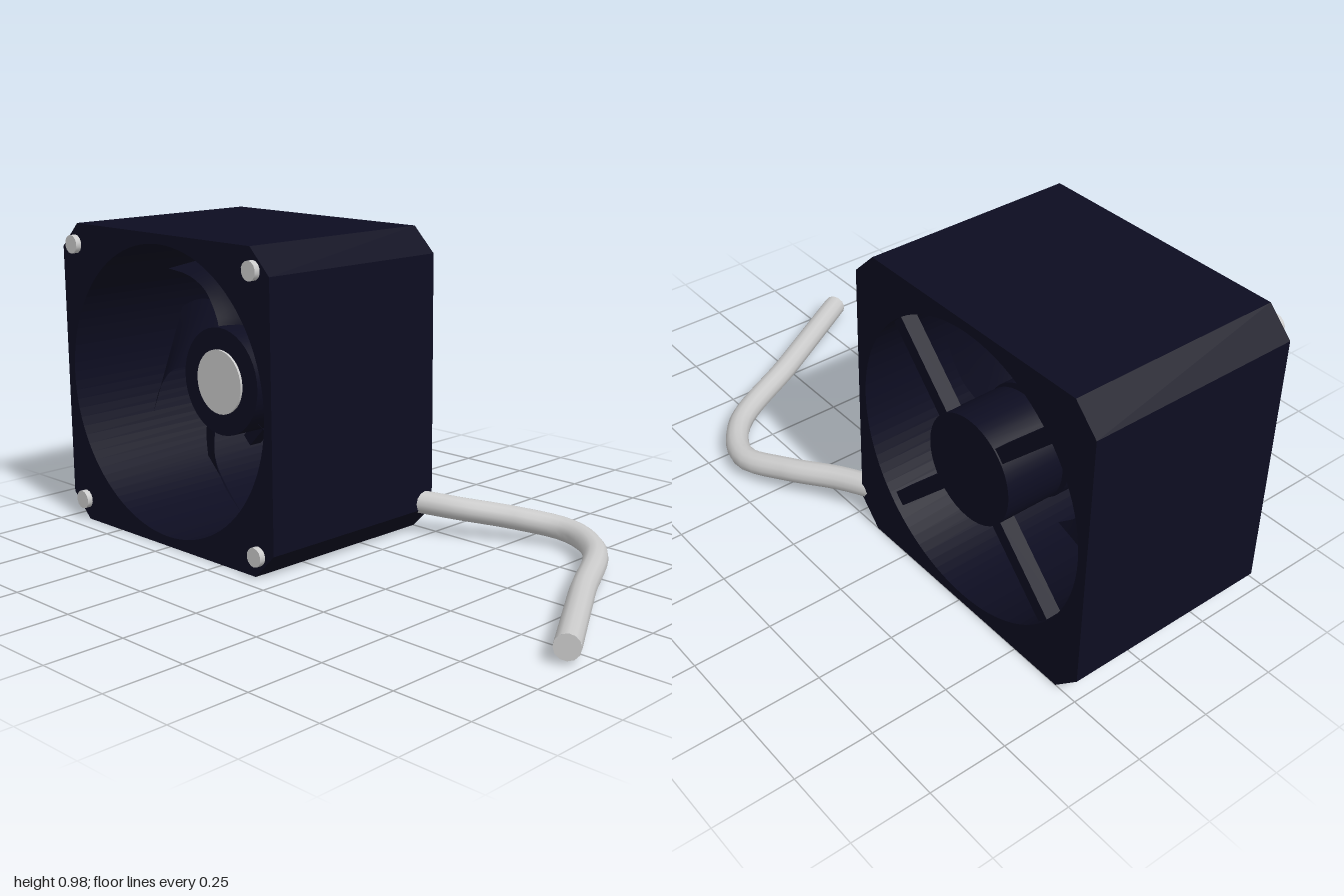
import * as THREE from 'three';

const CX = -0.51, CY = 0.4925, HALF = 0.4915, BACK = -0.25, FRONT = 0.44;

export function createModel() {
  const model = new THREE.Group();
  const navy = new THREE.MeshStandardMaterial({ color: 0x0d0d21 });
  navy.name = 'navyPlastic';
  const navyThin = new THREE.MeshStandardMaterial({ color: 0x0d0d21, side: THREE.DoubleSide });
  navyThin.name = 'navyBlade';
  const silver = new THREE.MeshStandardMaterial({ color: 0xcccccc });
  silver.name = 'silver';

  const fan = new THREE.Group();
  fan.name = 'fan';
  fan.position.set(CX, CY, 0);
  model.add(fan);

  const add = (parent, name, geometry, material) => {
    const mesh = new THREE.Mesh(geometry, material);
    mesh.name = name;
    parent.add(mesh);
    return mesh;
  };
  // Cylinder along z, between two depths
  const disc = (name, r, z0, z1, sides, material, x = 0, y = 0) => {
    const g = new THREE.CylinderGeometry(r, r, z1 - z0, sides).rotateX(Math.PI / 2);
    return add(fan, name, g.translate(x, y, (z0 + z1) / 2), material);
  };

  // Housing: chamfered square with a round bore
  const c = HALF - 0.08;
  const outline = new THREE.Shape([
    [HALF, -c], [HALF, c], [c, HALF], [-c, HALF],
    [-HALF, c], [-HALF, -c], [-c, -HALF], [c, -HALF],
  ].map(([x, y]) => new THREE.Vector2(x, y)));
  outline.holes.push(new THREE.Path().absarc(0, 0, 0.46, 0, Math.PI * 2, true));
  const frame = new THREE.ExtrudeGeometry(outline, {
    depth: FRONT - BACK, bevelEnabled: false, curveSegments: 48,
  });
  add(fan, 'housing', frame.translate(0, 0, BACK), navy);

  // Corner screws
  for (const sx of [-1, 1]) for (const sy of [-1, 1]) {
    disc('screw', 0.03, FRONT - 0.02, FRONT + 0.019, 14, silver, sx * 0.424, sy * 0.424);
  }

  // Motor, rotor hub and bright cap
  disc('motor', 0.17, -0.235, -0.04, 40, navy);
  disc('hub', 0.175, -0.02, 0.21, 40, navy);
  disc('shaft', 0.06, -0.05, 0, 20, navy);
  disc('hubCap', 0.105, 0.2, 0.218, 32, silver);

  // Diagonal struts carrying the motor
  for (let i = 0; i < 4; i++) {
    const g = new THREE.BoxGeometry(0.32, 0.045, 0.05).translate(0.31, 0, -0.205);
    add(fan, 'strut', g.rotateZ(Math.PI / 4 + i * Math.PI / 2), navy);
  }

  // Swept blades, ruled between a rear and a front edge given as [degrees, radius]
  const edge = (points, zIn, zOut) => new THREE.CatmullRomCurve3(points.map(([deg, r], i) => {
    const a = THREE.MathUtils.degToRad(deg), t = i / (points.length - 1);
    return new THREE.Vector3(Math.cos(a) * r, Math.sin(a) * r, zIn + (zOut - zIn) * t);
  }));
  const rear = edge([[50, 0.165], [57, 0.22], [64, 0.285], [70, 0.348], [78, 0.4], [85, 0.44]], 0.02, 0.03);
  const front = edge([[103, 0.165], [104, 0.2], [108, 0.26], [112, 0.305], [121, 0.37], [132, 0.443]], 0.18, 0.17);
  const NU = 8, NV = 14;
  const blade = new THREE.PlaneGeometry(1, 1, NU, NV);
  for (let j = 0; j <= NV; j++) {
    const a = rear.getPoint(j / NV), b = front.getPoint(j / NV);
    for (let i = 0; i <= NU; i++) {
      const p = a.clone().lerp(b, i / NU);
      blade.attributes.position.setXYZ(j * (NU + 1) + i, p.x, p.y, p.z);
    }
  }
  // Turn the faces so their fronts look toward +z
  const index = blade.index.array;
  for (let i = 0; i < index.length; i += 3) {
    [index[i + 1], index[i + 2]] = [index[i + 2], index[i + 1]];
  }
  blade.computeVertexNormals();
  if (blade.attributes.normal.getZ(0) < 0) {
    for (let i = 0; i < index.length; i += 3) {
      [index[i + 1], index[i + 2]] = [index[i + 2], index[i + 1]];
    }
    blade.computeVertexNormals();
  }
  for (let k = 0; k < 5; k++) {
    add(fan, 'blade', blade, navyThin).rotation.z = k * Math.PI * 2 / 5;
  }

  // Power cable from the rear corner, with closed ends
  const path = new THREE.CatmullRomCurve3([
    [-0.05, 0.105, -0.205], [0.08, 0.093, -0.265], [0.24, 0.074, -0.36], [0.4, 0.054, -0.422],
    [0.56, 0.047, -0.34], [0.75, 0.047, -0.02], [0.963, 0.05, 0.333],
  ].map(p => new THREE.Vector3(...p)));
  const R = 0.038;
  const cable = new THREE.Group();
  cable.name = 'cable';
  model.add(cable);
  add(cable, 'cableSleeve', new THREE.TubeGeometry(path, 40, R, 12), silver);
  for (const t of [0, 1]) {
    const end = add(cable, 'cableEnd', new THREE.CircleGeometry(R, 12), silver);
    end.position.copy(path.getPoint(t));
    const out = path.getTangent(t).multiplyScalar(t ? 1 : -1);
    end.quaternion.setFromUnitVectors(new THREE.Vector3(0, 0, 1), out);
  }
  return model;
}
